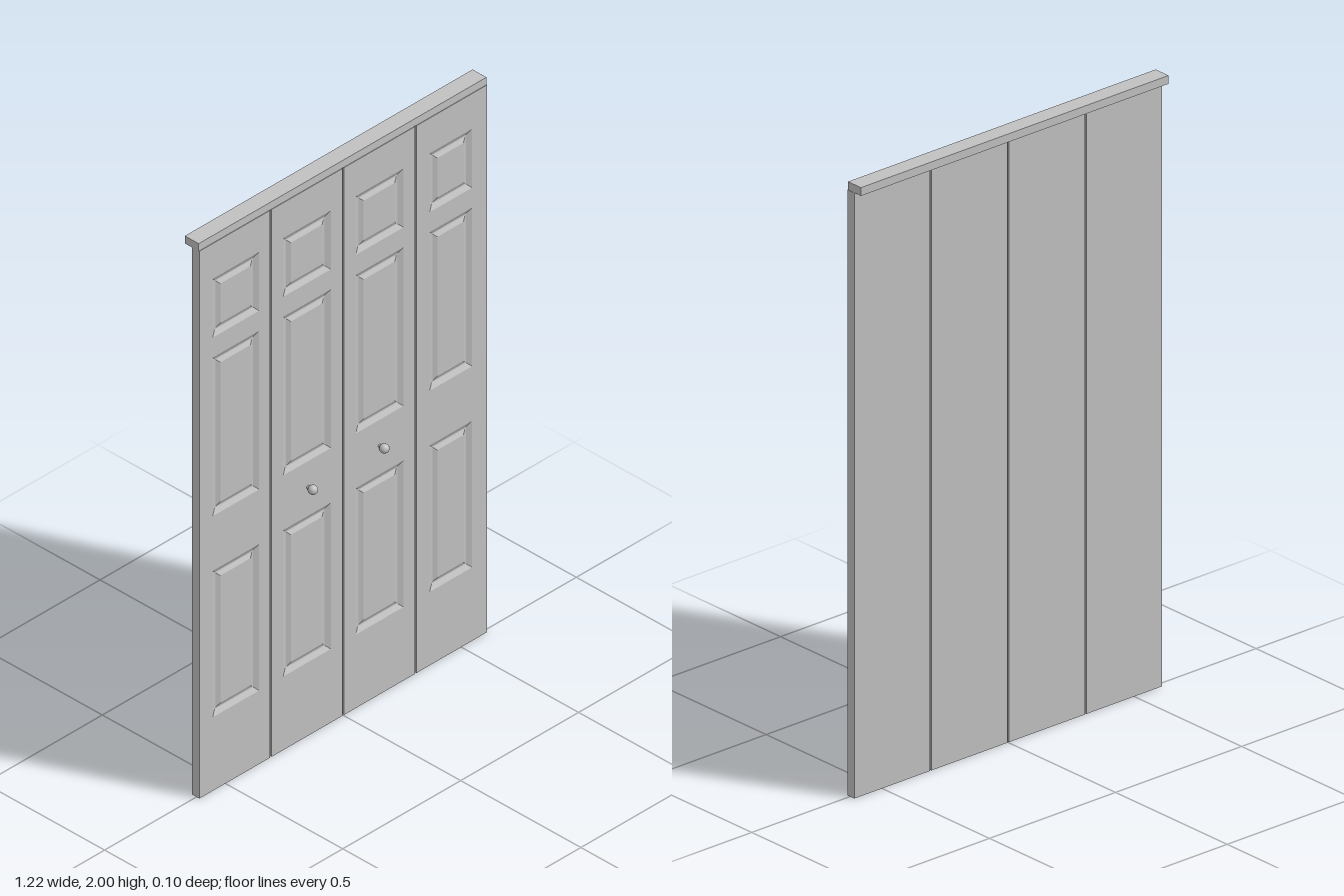
import * as THREE from 'three';

const FRONT = 0.012, BACK = -0.019, TOP = 1.973;

// inset and depth of each step of the moulding, from the face to the raised field
const MOULDING = [[0, 0], [0.017, 0.009], [0.021, 0.009], [0.035, 0.002]];
const ROWS = [[0.265, 0.793], [0.99, 1.562], [1.634, 1.846]];

// left edge, right edge, panel left, panel right
const LEAVES = [
  [-0.61, -0.31, -0.554, -0.357],
  [-0.304, -0.003, -0.255, -0.053],
  [0.003, 0.304, 0.053, 0.255],
  [0.31, 0.61, 0.366, 0.546],
];

const corners = (x0, x1, y0, y1, d = 0) =>
  [[x0 + d, y0 + d], [x1 - d, y0 + d], [x1 - d, y1 - d], [x0 + d, y1 - d]];

// nested rectangles joined by sloping faces, closed by the raised field
function panelGeometry(x0, x1, y0, y1) {
  const loops = MOULDING.map(([d, depth]) =>
    corners(x0, x1, y0, y1, d).map(([x, y]) => [x, y, FRONT - depth]));
  const pos = [];
  const quad = (a, b, c, d) => pos.push(...a, ...b, ...c, ...a, ...c, ...d);
  for (let i = 0; i < loops.length - 1; i++) {
    for (let k = 0; k < 4; k++) {
      const n = (k + 1) % 4;
      quad(loops[i][k], loops[i][n], loops[i + 1][n], loops[i + 1][k]);
    }
  }
  quad(...loops[loops.length - 1]);
  const g = new THREE.BufferGeometry();
  g.setAttribute('position', new THREE.Float32BufferAttribute(pos, 3));
  g.computeVertexNormals();
  return g;
}

export function createModel() {
  const model = new THREE.Group();
  model.name = 'foldingDoor';
  const paint = new THREE.MeshStandardMaterial({ color: 0xc0c0c0 });
  paint.name = 'grey paint';

  const add = (parent, name, geometry, x = 0, y = 0, z = 0) => {
    const mesh = new THREE.Mesh(geometry, paint);
    mesh.name = name;
    mesh.position.set(x, y, z);
    parent.add(mesh);
    return mesh;
  };
  const toPath = (path, pts) => path.setFromPoints(pts.map(([x, y]) => new THREE.Vector2(x, y)));

  LEAVES.forEach(([x0, x1, p0, p1], i) => {
    const leaf = new THREE.Group();
    leaf.name = 'doorLeaf' + (i + 1);
    model.add(leaf);

    // back and edges: a box without its front face
    const box = new THREE.BoxGeometry(x1 - x0, TOP, FRONT - BACK);
    box.setIndex(Array.from(box.index.array).filter((_, k) => k < 24 || k >= 30));
    box.clearGroups();
    add(leaf, 'leafBody', box, (x0 + x1) / 2, TOP / 2, (FRONT + BACK) / 2);

    // front face with openings for the panels
    const face = toPath(new THREE.Shape(), corners(x0, x1, 0, TOP));
    for (const [y0, y1] of ROWS) {
      face.holes.push(toPath(new THREE.Path(), corners(p0, p1, y0, y1).reverse()));
      add(leaf, 'raisedPanel', panelGeometry(p0, p1, y0, y1));
    }
    add(leaf, 'leafFront', new THREE.ShapeGeometry(face), 0, 0, FRONT);
  });

  // head track, overhanging at the back
  add(model, 'headTrack', new THREE.BoxGeometry(1.22, 2 - TOP, 0.058), -0.001, (2 + TOP) / 2, -0.019);

  // knobs on the two middle leaves
  for (const x of [-0.15, 0.153]) {
    const knob = new THREE.Group();
    knob.name = 'knob';
    knob.position.set(x, 0.897, 0);
    model.add(knob);
    add(knob, 'knobStem', new THREE.CylinderGeometry(0.006, 0.006, 0.016, 16), 0, 0, 0.018).rotation.x = Math.PI / 2;
    add(knob, 'knobBall', new THREE.SphereGeometry(0.0155, 24, 16), 0, 0, 0.0325);
  }
  return model;
}
